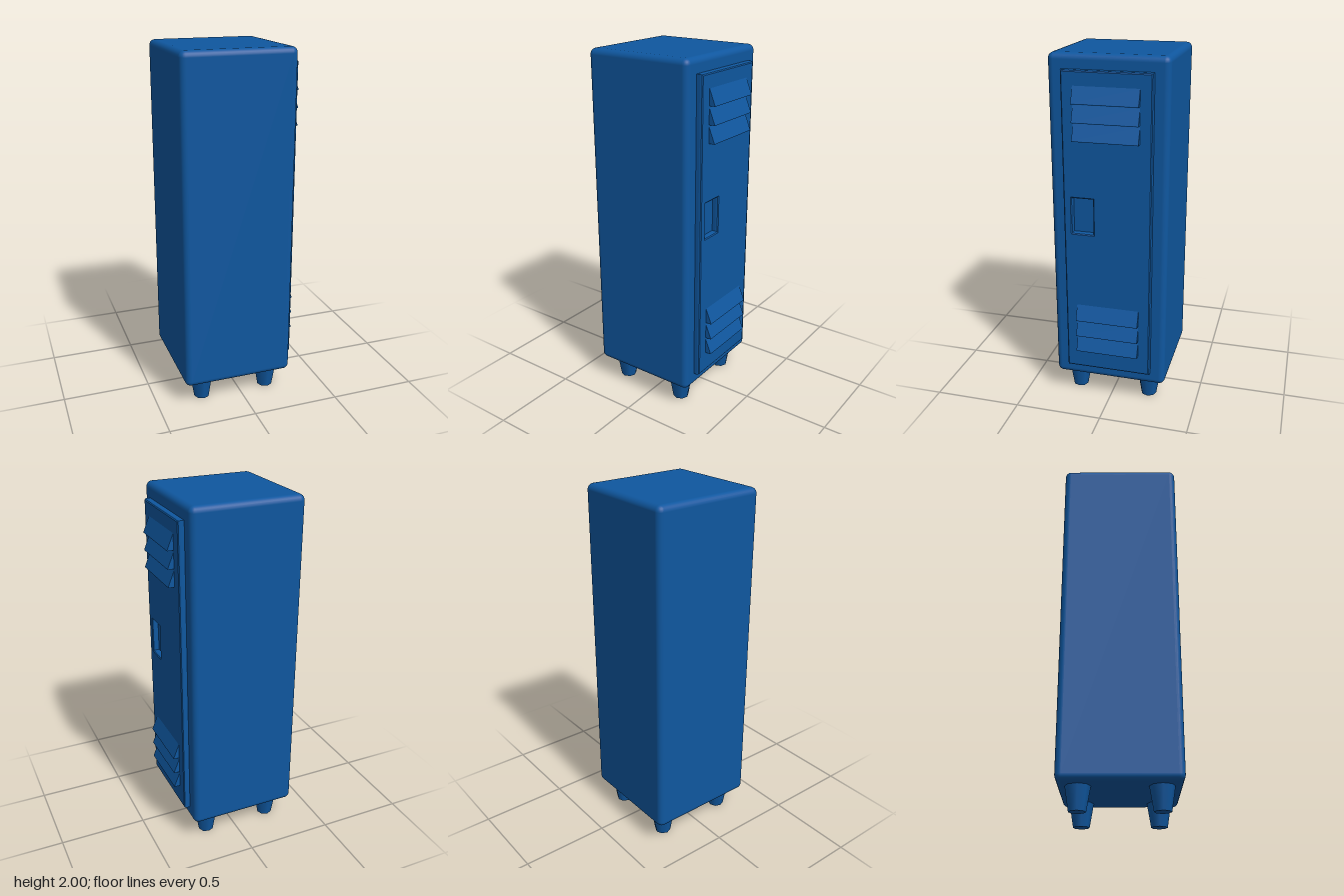
import * as THREE from 'three';
import { RoundedBoxGeometry } from 'three/addons/geometries/RoundedBoxGeometry.js';

function rect(path, x0, y0, x1, y1) {
  path.moveTo(x0, y0);
  path.lineTo(x1, y0);
  path.lineTo(x1, y1);
  path.lineTo(x0, y1);
  path.closePath();
  return path;
}

export function createModel() {
  const model = new THREE.Group();
  const blue = new THREE.MeshStandardMaterial({ color: 0x0f579f });
  blue.name = 'lockerBlue';

  const add = (name, geometry, x = 0, y = 0, z = 0) => {
    const mesh = new THREE.Mesh(geometry, blue);
    mesh.name = name;
    mesh.position.set(x, y, z);
    model.add(mesh);
    return mesh;
  };

  // Cabinet with softened edges
  add('cabinet', new RoundedBoxGeometry(0.633, 1.87, 0.646, 3, 0.033), -0.0335, 1.065, 0);

  // Door facing +x, chamfered, with a rectangular handle recess
  const bevel = 0.008;
  const outline = rect(new THREE.Shape(), -0.243 + bevel, 0.207 + bevel, 0.243 - bevel, 1.92 - bevel);
  outline.holes.push(rect(new THREE.Path(), -0.202, 1.033, -0.07, 1.247));
  const door = new THREE.ExtrudeGeometry(outline, {
    depth: 0.026, bevelEnabled: true, bevelThickness: 0.014, bevelSize: bevel, bevelSegments: 2,
  });
  door.rotateY(Math.PI / 2);
  add('door', door, 0.277, 0, 0);

  // Two banks of three wedge-shaped vent louvres
  const wedge = new THREE.Shape();
  wedge.moveTo(-0.01, 0);
  wedge.lineTo(0.034, 0);
  wedge.lineTo(0.034, 0.004);
  wedge.lineTo(0, 0.088);
  wedge.lineTo(-0.01, 0.088);
  wedge.closePath();
  const louvre = new THREE.ExtrudeGeometry(wedge, { depth: 0.355, bevelEnabled: false });
  louvre.translate(0, 0, -0.1775);
  for (const [bank, base] of [['upper', 1.56], ['lower', 0.326]]) {
    for (let i = 0; i < 3; i++) add(bank + 'Louvre', louvre, 0.317, base + i * 0.097, 0);
  }

  // Four tapered feet
  const foot = new THREE.CylinderGeometry(0.068, 0.045, 0.14, 8);
  for (const x of [-0.228, 0.17]) {
    for (const z of [-0.212, 0.212]) add('foot', foot, x, 0.07, z);
  }

  return model;
}
